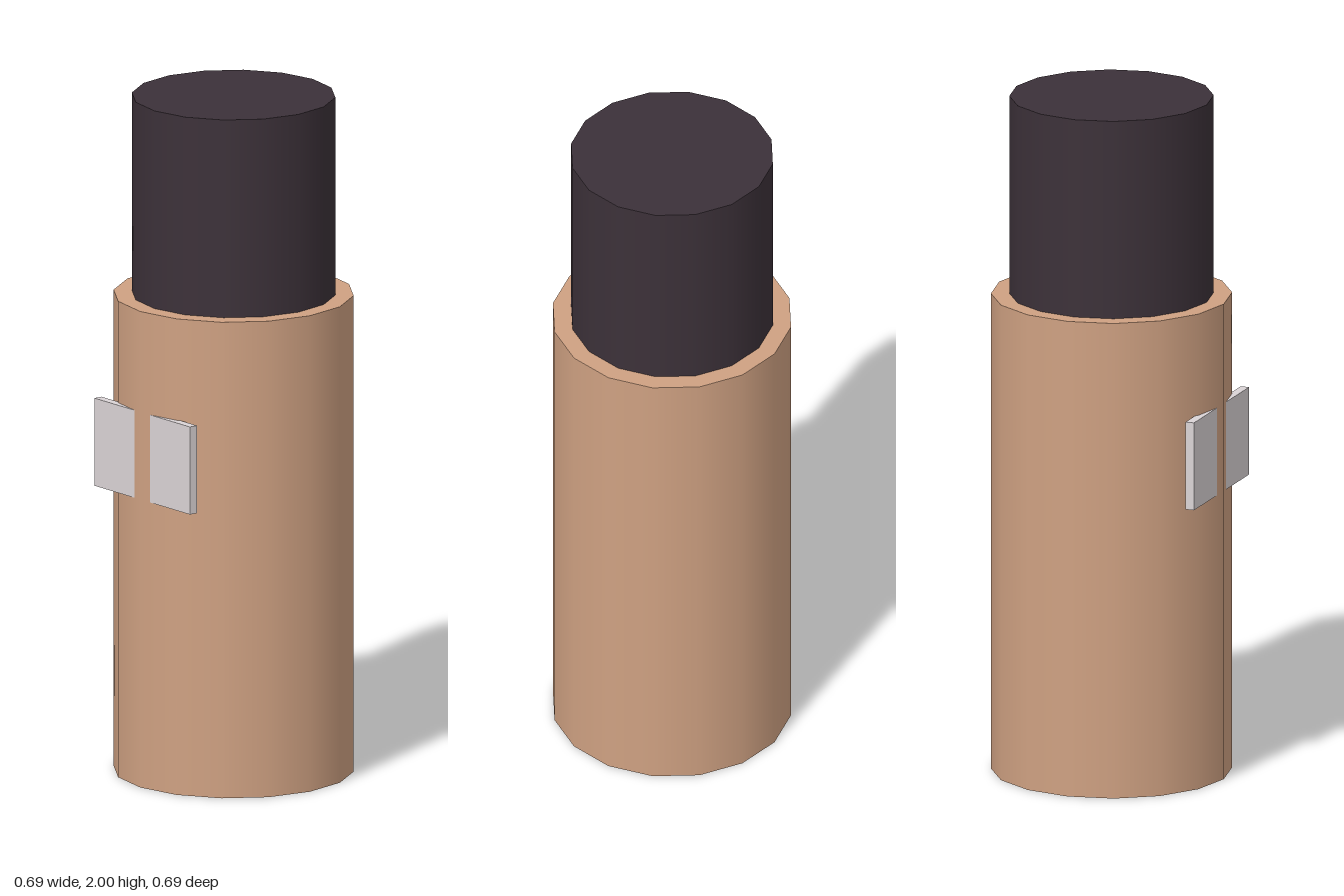
import * as THREE from 'three';

const material = (name, color) => {
  const m = new THREE.MeshStandardMaterial({ color });
  m.name = name;
  return m;
};

export function createModel() {
  const group = new THREE.Group();
  const tan = material('tan', 0xcfa182);
  const dark = material('darkPlum', 0x3c3139);
  const pale = material('paleGrey', 0xdbd4d6);

  const add = (name, geometry, mat, x, y, z) => {
    const mesh = new THREE.Mesh(geometry, mat);
    mesh.name = name;
    mesh.position.set(x, y, z);
    group.add(mesh);
  };
  // 16-sided smooth column standing between two heights
  const column = (name, radius, bottom, top, mat) =>
    add(name, new THREE.CylinderGeometry(radius, radius, top - bottom, 16), mat, 0, (bottom + top) / 2, 0);

  column('body', 0.347, 0, 1.413, tan);
  column('upperColumn', 0.294, 1.405, 2, dark);

  // Flat plate sunk into the front, so the body's front ridge divides it in two
  add('frontPlate', new THREE.BoxGeometry(0.434, 0.26, 0.026), pale, 0, 0.982, 0.327);

  return group;
}
